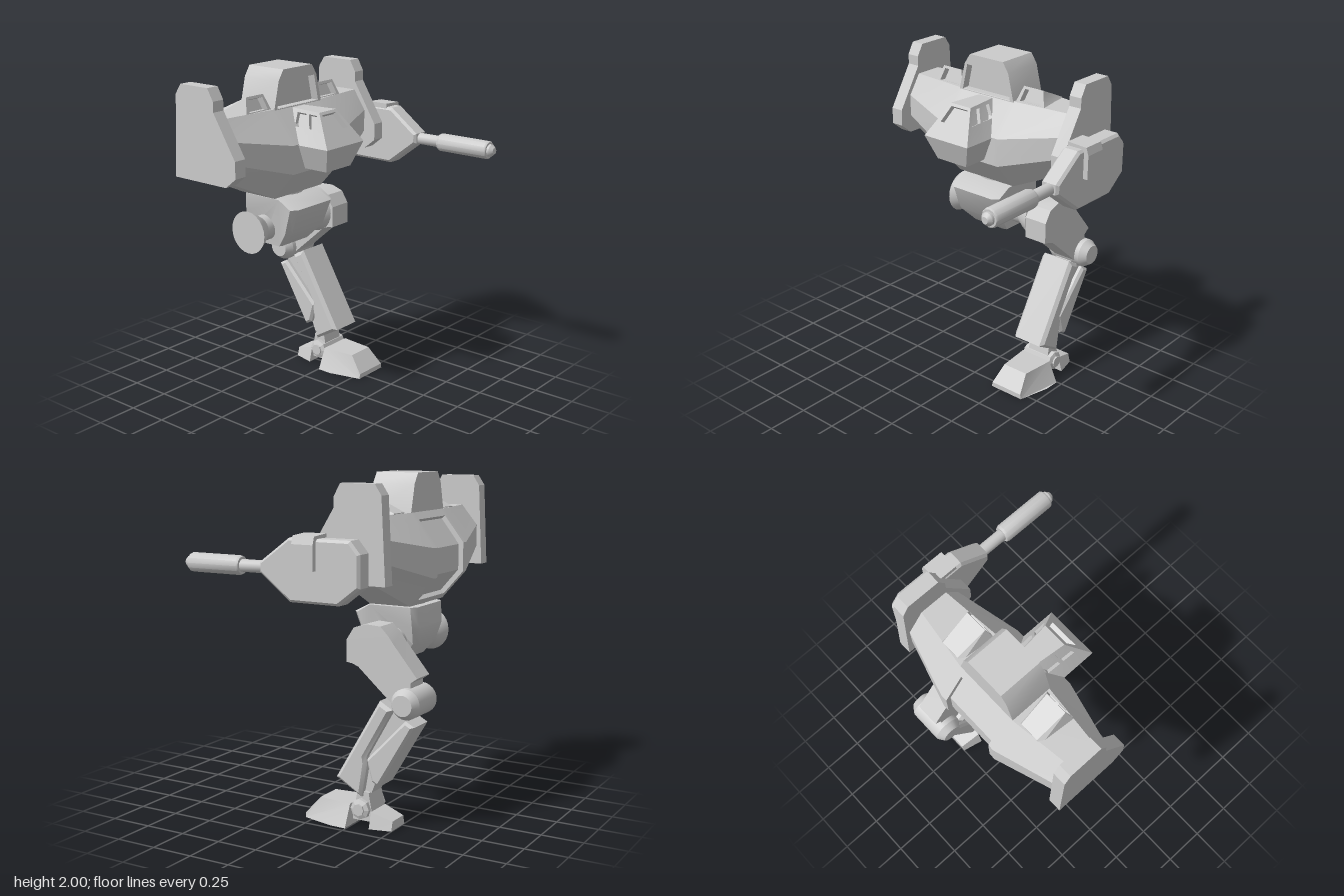
import * as THREE from 'three';
import { toCreasedNormals } from 'three/addons/utils/BufferGeometryUtils.js';

const MAT = new THREE.MeshStandardMaterial({ color: 0xcccccc, side: THREE.DoubleSide });
const CX = -0.09; // centre line of hull and pelvis
const V = (x, y, z) => new THREE.Vector3(x, y, z);

function add(parent, name, geo, crease = 0.6) {
  const mesh = new THREE.Mesh(toCreasedNormals(geo, crease), MAT);
  mesh.name = name;
  parent.add(mesh);
  return mesh;
}

// Geometry from a flat list of triangle corners
const fromTris = (t) => new THREE.BufferGeometry().setFromPoints(t);

// Triangles joining equal-length rings, with optional caps, turned outward
function loft(rings, capStart = true, capEnd = true) {
  const side = [], caps = [[], []], n = rings[0].length;
  for (let r = 0; r < rings.length - 1; r++) {
    for (let i = 0; i < n; i++) {
      const j = (i + 1) % n, [a, b, c, d] = [rings[r][i], rings[r][j], rings[r + 1][j], rings[r + 1][i]];
      side.push(a, b, c, a, c, d);
    }
  }
  const last = rings[rings.length - 1];
  for (let i = 1; i < n - 1; i++) {
    caps[0].push(rings[0][0], rings[0][i + 1], rings[0][i]);
    caps[1].push(last[0], last[i], last[i + 1]);
  }
  const all = [...side, ...caps[0], ...caps[1]];
  const out = [...side, ...(capStart ? caps[0] : []), ...(capEnd ? caps[1] : [])];
  let volume = 0;
  for (let i = 0; i < all.length; i += 3) volume += all[i].dot(all[i + 1].clone().cross(all[i + 2]));
  if (volume < 0) for (let i = 0; i < out.length; i += 3) [out[i + 1], out[i + 2]] = [out[i + 2], out[i + 1]];
  return out;
}

// Quad a,b,c,d (counter-clockwise from outside) cut into a grid; cells with odd u and v index are sunk windows
function windowPanel([a, b, c, d], us, vs, depth) {
  const tris = [];
  const sink = b.clone().sub(a).cross(d.clone().sub(a)).normalize().multiplyScalar(-depth);
  const at = (u, v) => a.clone().lerp(b, u).lerp(d.clone().lerp(c, u), v);
  const quad = (p, q, r, s) => tris.push(p, q, r, p, r, s);
  for (let i = 0; i < us.length - 1; i++) {
    for (let j = 0; j < vs.length - 1; j++) {
      const q = [at(us[i], vs[j]), at(us[i + 1], vs[j]), at(us[i + 1], vs[j + 1]), at(us[i], vs[j + 1])];
      if (i % 2 && j % 2) {
        const low = q.map((p) => p.clone().add(sink));
        quad(...low);
        for (let k = 0; k < 4; k++) quad(q[k], q[(k + 1) % 4], low[(k + 1) % 4], low[k]);
      } else quad(...q);
    }
  }
  return tris;
}

// Side profile [z, y] extruded from x0 to x1, optionally bevelled
function slab(profile, x0, x1, bevel = 0) {
  const shape = new THREE.Shape(profile.map(([z, y]) => new THREE.Vector2(z, y)));
  return new THREE.ExtrudeGeometry(shape, {
    depth: x1 - x0 - 2 * bevel, bevelEnabled: bevel > 0, bevelSize: bevel,
    bevelThickness: bevel, bevelOffset: -bevel, bevelSegments: 1,
  }).rotateY(-Math.PI / 2).translate(x1 - bevel, 0, 0);
}

// Lathe of [radius, x] points around an axis along x
const latheX = (pts, y, z, n = 24) => new THREE.LatheGeometry(pts.map(([r, x]) => new THREE.Vector2(r, x)), n)
  .rotateZ(-Math.PI / 2).translate(0, y, z);

function hull() {
  const g = new THREE.Group();
  g.name = 'hull';
  // Octagonal body with a sunk rear panel; rim points are doubled to form its walls
  const full = [[-0.21, 1.78], [-0.47, 1.78], [-0.5, 1.742], [-0.5, 1.742], [-0.62, 1.59], [-0.62, 1.42],
    [-0.5, 1.284], [-0.5, 1.284], [-0.47, 1.25], [-0.21, 1.25], [-0.06, 1.42], [-0.06, 1.59]];
  const sunk = full.map(([z, y], i) => (i === 3 ? [-0.478, 1.725] : i === 4 ? [-0.59, 1.58]
    : i === 5 ? [-0.59, 1.43] : i === 6 ? [-0.478, 1.302] : [z, y]));
  const end = [[-0.245, 1.78], [-0.42, 1.78], [-0.44, 1.755], [-0.44, 1.755], [-0.52, 1.66], [-0.52, 1.53],
    [-0.44, 1.444], [-0.44, 1.444], [-0.42, 1.42], [-0.245, 1.42], [-0.165, 1.53], [-0.165, 1.66]];
  const ring = (x, prof) => prof.map(([z, y]) => V(CX + x, y, z));
  add(g, 'hullBody', fromTris(loft([ring(-0.58, end), ring(-0.21, full), ring(-0.17, full), ring(-0.17, sunk),
    ring(0.17, sunk), ring(0.17, full), ring(0.21, full), ring(0.58, end)])), 0.35);

  // Shoulder plates
  const plate = [[-0.28, 1.96], [-0.49, 1.96], [-0.53, 1.9], [-0.555, 1.42], [-0.16, 1.42],
    [-0.085, 1.48], [-0.085, 1.58], [-0.24, 1.83], [-0.24, 1.89]];
  for (const s of [-1, 1]) add(g, 'shoulderPlate', slab(plate, CX + s * 0.62 - 0.04, CX + s * 0.62 + 0.04), 0.3);

  // Top turret with a large sunk window
  const outline = [[-0.21, 1.76], [0.21, 1.76], [0.165, 1.94], [0.125, 2], [-0.125, 2], [-0.165, 1.94]];
  const tr = (z) => outline.map(([x, y]) => V(CX + x, y, z));
  const [a, b, c, e, f, d] = tr(-0.205);
  add(g, 'turret', fromTris([...loft([tr(-0.205), tr(-0.47)], false, true),
    ...windowPanel([a, b, c, d], [0, 0.06, 0.94, 1], [0, 0.1, 0.97, 1], 0.05), d, c, e, d, e, f]));

  // Side window pods, sloping back into the deck
  for (const s of [-1, 1]) {
    const x = CX + s * 0.31;
    const front = [V(x - 0.105, 1.77, -0.225), V(x + 0.105, 1.77, -0.225), V(x + 0.07, 1.87, -0.26), V(x - 0.07, 1.87, -0.26)];
    const back = [V(x - 0.09, 1.76, -0.45), V(x + 0.09, 1.76, -0.45), V(x + 0.06, 1.785, -0.45), V(x - 0.06, 1.785, -0.45)];
    add(g, 'windowPod', fromTris([...loft([front, back], false, true),
      ...windowPanel(front, [0, 0.12, 0.88, 1], [0, 0.15, 0.85, 1], 0.04)]));
  }
  return g;
}

function cockpit() {
  const t = [];
  const P = (x, y, z) => V(CX + x, y, z);
  const quad = (p, q, r, s) => t.push(p, q, r, p, r, s);
  // Corner points of one side: front and rear, top, middle and bottom
  const side = (s) => ({ ft: P(s * 0.075, 1.77, 0.02), fm: P(s * 0.165, 1.585, 0.153), fb: P(s * 0.11, 1.44, 0.1),
    bt: P(s * 0.05, 1.77, -0.22), bm: P(s * 0.165, 1.585, -0.22), bb: P(s * 0.11, 1.44, -0.22) });
  const L = side(1), R = side(-1);
  t.push(...windowPanel([R.fm, L.fm, L.ft, R.ft], [0, 0.13, 0.87, 1], [0, 0.46, 0.92, 1], 0.03));
  quad(R.fb, L.fb, L.fm, R.fm);
  quad(R.ft, L.ft, L.bt, R.bt);
  quad(R.bb, L.bb, L.fb, R.fb);
  quad(L.fb, L.bb, L.bm, L.fm);
  quad(R.bb, R.fb, R.fm, R.bm);
  const us = [0, 0.1, 0.35, 0.43, 0.72, 1], vs = [0, 0.5, 0.9, 1];
  t.push(...windowPanel([L.fm, L.bm, L.bt, L.ft], us, vs, 0.025));
  t.push(...windowPanel([R.bm, R.fm, R.ft, R.bt], us.map((u) => 1 - u).reverse(), vs, 0.025));
  const g = new THREE.Group();
  add(g, 'cockpit', fromTris(t), 0.3);
  return g;
}

function pelvis() {
  const g = new THREE.Group();
  g.name = 'pelvis';
  const prof = [[-0.18, 1.24], [-0.08, 1.19], [-0.14, 1.03], [-0.24, 0.93], [-0.4, 0.93], [-0.48, 1.02], [-0.5, 1.12], [-0.49, 1.24]];
  const rings = [-1, -0.8, 0.8, 1].map((s) => prof.map(([z, y]) => {
    const w = y > 1.02 ? 0.175 + (y - 1.03) * 0.07 : 0.135;
    return V(CX + s * w, y, -0.3 + (z + 0.3) * (Math.abs(s) === 1 ? 0.85 : 1));
  }));
  add(g, 'pelvisBody', fromTris(loft(rings)), 0.75);
  // Flared hip joints on both sides
  for (const s of [-1, 1]) {
    const pts = [[0.078, 0.14], [0.078, 0.21], [0.095, 0.24], [0.1, 0.245], [0.13, 0.305], [0, 0.305]];
    const geo = latheX(pts, 1.04, -0.34);
    if (s < 0) geo.rotateY(Math.PI).translate(0, 0, -0.68);
    add(g, 'hipJoint', geo.translate(CX, 0, 0), 0.5);
  }
  // Neck joining pelvis and hull
  add(g, 'waist', new THREE.CylinderGeometry(0.12, 0.12, 0.05, 20).translate(CX, 1.24, -0.33));
  return g;
}

function leg() {
  const g = new THREE.Group();
  g.name = 'leftLeg';
  const M = 0.3; // centre of the leg in x
  const part = (name, prof, half, bevel = 0) => add(g, name, slab(prof, M - half, M + half, bevel), 0.5);
  part('thigh', [[-0.205, 0.95], [-0.205, 1.08], [-0.25, 1.15], [-0.33, 1.175], [-0.42, 1.17], [-0.47, 1.12], [-0.5, 1.08],
    [-0.65, 0.9], [-0.61, 0.87], [-0.61, 0.72], [-0.52, 0.72], [-0.28, 0.93], [-0.24, 0.945]], 0.075);
  add(g, 'knee', latheX([[0, -0.148], [0.06, -0.148], [0.088, -0.105], [0.088, 0.105], [0.06, 0.148], [0, 0.148]], 0.755, -0.595)
    .translate(M, 0, 0), 0.4);
  // Shin: front shell, core strut and calf plate
  part('shinShell', [[-0.43, 0.755], [-0.51, 0.71], [-0.345, 0.42], [-0.35, 0.38], [-0.315, 0.18], [-0.15, 0.275]], 0.113, 0.02);
  part('shinStrut', [[-0.5, 0.72], [-0.6, 0.67], [-0.4, 0.3], [-0.36, 0.2], [-0.3, 0.22], [-0.34, 0.42]], 0.06);
  part('calfPlate', [[-0.585, 0.655], [-0.64, 0.625], [-0.42, 0.25], [-0.375, 0.275], [-0.34, 0.4]], 0.095, 0.015);
  // Ankle
  part('ankleStrut', [[-0.28, 0.22], [-0.35, 0.2], [-0.375, 0.07], [-0.25, 0.07]], 0.075);
  add(g, 'ankleBolt', latheX([[0, -0.12], [0.035, -0.12], [0.035, -0.11], [0.06, -0.1], [0.06, 0.1], [0.035, 0.11], [0.035, 0.12], [0, 0.12]],
    0.105, -0.305, 8).translate(M, 0, 0), 0.2);
  // Toe block, narrower at the front and top
  const foot = [[0.05, 0, 0.115], [0.05, 0.03, 0.11], [-0.035, 0.13, 0.085], [-0.245, 0.13, 0.105], [-0.245, 0, 0.165], [-0.15, 0, 0.165]];
  add(g, 'toe', fromTris(loft([-1, 1].map((s) => foot.map(([z, y, w]) => V(M + s * w, y, z))))), 0.3);
  const heel = [[-0.37, 0, 0.11], [-0.37, 0.095, 0.085], [-0.5, 0.055, 0.065], [-0.5, 0, 0.08]];
  add(g, 'heel', fromTris(loft([-1, 1].map((s) => heel.map(([z, y, w]) => V(M + s * w, y, z))))), 0.3);
  part('footBridge', [[-0.22, 0.03], [-0.22, 0.08], [-0.39, 0.08], [-0.39, 0.03]], 0.07);
  return g;
}

function gun() {
  const g = new THREE.Group();
  g.name = 'leftGun';
  const X = 0.657, Y = 1.495;
  add(g, 'gunBody', slab([[0.15, 1.47], [0.15, 1.53], [-0.04, 1.67], [-0.42, 1.67], [-0.48, 1.6], [-0.48, 1.42],
    [-0.35, 1.32], [-0.045, 1.32]], X - 0.058, X + 0.058, 0.015), 0.3);
  // Side housing, chamfered along its upper edge
  const box = [[0.605, 1.5], [0.745, 1.5], [0.745, 1.64], [0.73, 1.685], [0.605, 1.692]];
  add(g, 'gunHousing', fromTris(loft([-0.08, -0.215].map((z) => box.map(([x, y]) => V(x, y, z))))), 0.3);
  // Barrel: thin neck, thick sleeve and muzzle tip
  const barrel = [[0.036, 0.12], [0.036, 0.3], [0.05, 0.3], [0.056, 0.315], [0.056, 0.64], [0.05, 0.65],
    [0.038, 0.65], [0.038, 0.665], [0.02, 0.685], [0, 0.685]].map(([r, z]) => new THREE.Vector2(r, z));
  add(g, 'barrel', new THREE.LatheGeometry(barrel, 12).rotateX(Math.PI / 2).translate(X, Y, 0), 0.6);
  return g;
}

export function createModel() {
  const model = new THREE.Group();
  model.name = 'walker';
  model.add(hull(), cockpit(), pelvis(), leg(), gun());
  return model;
}
